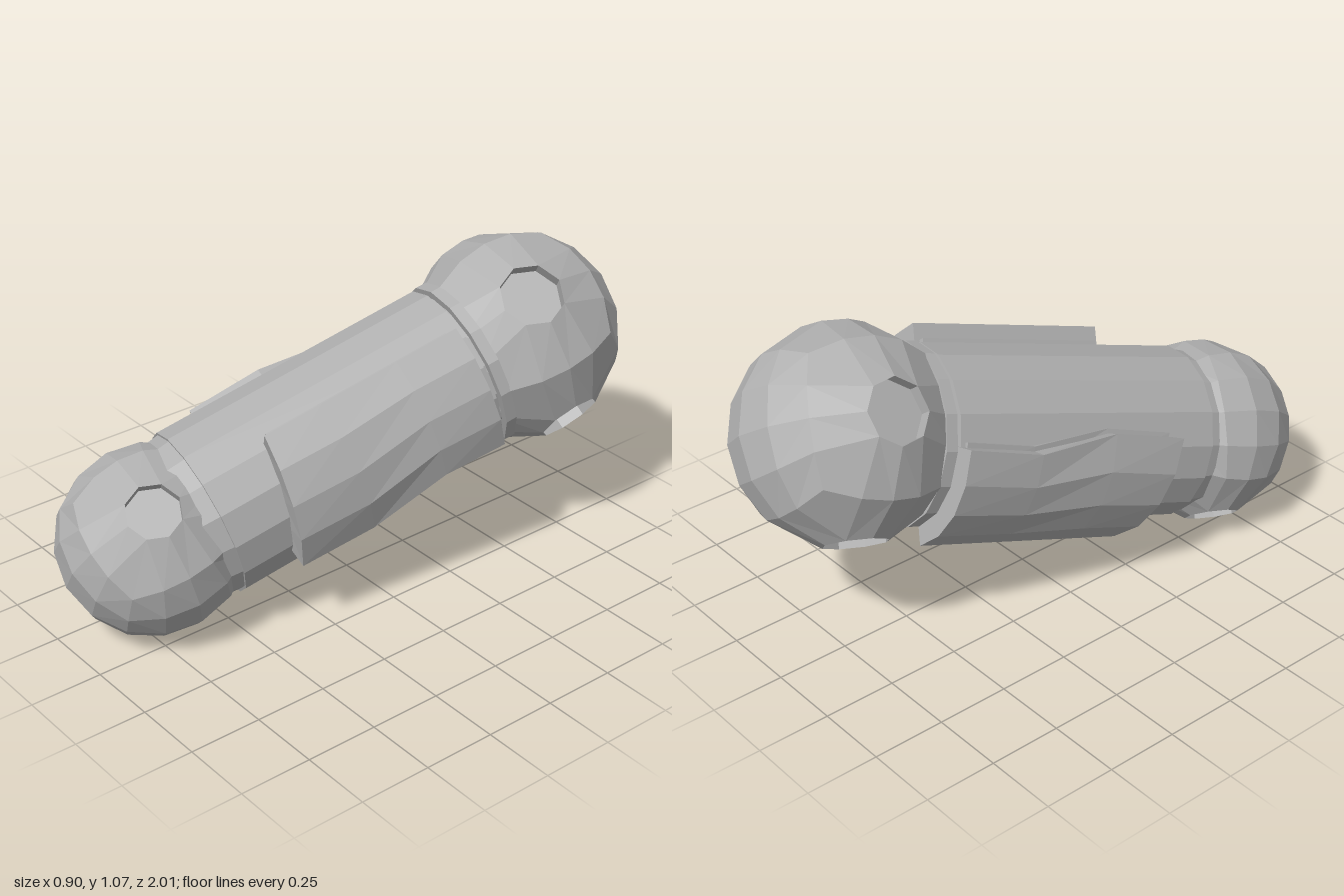
import * as THREE from 'three';

const grey = new THREE.MeshStandardMaterial({ color: 0xb0b0b0, flatShading: true });
grey.name = 'plain grey';

// Collects quads and triangles into one flat-shaded geometry
function surface(build) {
  const pos = [];
  const tri = (a, b, c) => pos.push(...a, ...b, ...c);
  const quad = (a, b, c, d) => { tri(a, b, c); tri(a, c, d); };
  build(tri, quad);
  const g = new THREE.BufferGeometry();
  g.setAttribute('position', new THREE.Float32BufferAttribute(pos, 3));
  g.computeVertexNormals();
  return g;
}

// Ball made from a rounded cube grid, with octagonal sockets in chosen sides
function socketBall(R, holeR, depth, holed) {
  const sides = [[0, 1], [0, -1], [1, 1], [1, -1], [2, 1], [2, -1]];
  return surface((tri, quad) => {
    for (const [axis, sign] of sides) {
      const n = new THREE.Vector3().setComponent(axis, sign);
      const u = new THREE.Vector3().setComponent((axis + 1) % 3, 1);
      const v = n.clone().cross(u);
      const open = holed.includes(axis);
      const place = (a, b, c) => n.clone().multiplyScalar(a).addScaledVector(u, b).addScaledVector(v, c);
      const ringAt = (k, sink) => {
        const f = k * Math.PI / 4;
        return place(Math.sqrt(R * R - holeR * holeR) - sink, holeR * Math.cos(f), holeR * Math.sin(f)).toArray();
      };
      const point = (i, j) => {
        if (open && Math.max(Math.abs(i), Math.abs(j)) === 1) return ringAt(Math.atan2(j, i) / (Math.PI / 4), 0);
        return place(1, Math.tan(i * Math.PI / 8), Math.tan(j * Math.PI / 8)).normalize().multiplyScalar(R).toArray();
      };
      for (let i = -2; i < 2; i++) for (let j = -2; j < 2; j++) {
        if (open && i >= -1 && i < 1 && j >= -1 && j < 1) continue;
        quad(point(i, j), point(i + 1, j), point(i + 1, j + 1), point(i, j + 1));
      }
      if (!open) continue;
      // socket wall and floor
      const centre = place(Math.sqrt(R * R - holeR * holeR) - depth, 0, 0).toArray();
      for (let k = 0; k < 8; k++) {
        quad(ringAt(k, 0), ringAt(k + 1, 0), ringAt(k + 1, depth), ringAt(k, depth));
        tri(centre, ringAt(k, depth), ringAt(k + 1, depth));
      }
    }
  });
}

// Curved armour plate; each row is [distance along limb, low angle, high angle, slant]
function curvedPlate(rows, inner, outer, steps = 4) {
  const at = ([t, lo, hi, slant], i, r) => {
    const a = THREE.MathUtils.degToRad(lo + (hi - lo) * i / steps);
    return [r * Math.cos(a), r * Math.sin(a), -(t + slant * i / steps)];
  };
  return surface((tri, quad) => {
    for (let k = 0; k < rows.length - 1; k++) {
      const p = rows[k], q = rows[k + 1];
      for (let i = 0; i < steps; i++) {
        quad(at(p, i, outer), at(q, i, outer), at(q, i + 1, outer), at(p, i + 1, outer));
        quad(at(p, i + 1, inner), at(q, i + 1, inner), at(q, i, inner), at(p, i, inner));
      }
      quad(at(p, 0, inner), at(q, 0, inner), at(q, 0, outer), at(p, 0, outer));
      quad(at(p, steps, outer), at(q, steps, outer), at(q, steps, inner), at(p, steps, inner));
    }
    const f = rows[0], b = rows[rows.length - 1];
    for (let i = 0; i < steps; i++) {
      quad(at(f, i, outer), at(f, i + 1, outer), at(f, i + 1, inner), at(f, i, inner));
      quad(at(b, i, inner), at(b, i + 1, inner), at(b, i + 1, outer), at(b, i, outer));
    }
  });
}

export function createModel() {
  const model = new THREE.Group();
  model.name = 'limbSegment';

  // Tilted limb frame: origin in the small ball, local -z runs to the large ball
  const small = new THREE.Vector3(-0.14, 0.315, 0.69);
  const large = new THREE.Vector3(0.097, 0.717, -0.645);
  const length = small.distanceTo(large);
  const z = small.clone().sub(large).normalize();
  const x = new THREE.Vector3(0.79, -0.61, 0).addScaledVector(z, -0.042).normalize();
  const y = z.clone().cross(x).normalize();
  x.crossVectors(y, z);
  const limb = new THREE.Group();
  limb.name = 'limb';
  limb.quaternion.setFromRotationMatrix(new THREE.Matrix4().makeBasis(x, y, z));
  limb.position.copy(small);
  model.add(limb);

  const add = (name, geometry, t = 0) => {
    const mesh = new THREE.Mesh(geometry, grey);
    mesh.name = name;
    mesh.position.z = -t;
    limb.add(mesh);
    return mesh;
  };
  const tube = (name, r0, r1, t0, t1) =>
    add(name, new THREE.CylinderGeometry(r0, r1, t1 - t0, 16).rotateX(Math.PI / 2), (t0 + t1) / 2);

  // Joint balls
  add('smallBall', socketBall(0.314, 0.092, 0.04, [1]));
  add('largeBall', socketBall(0.36, 0.108, 0.045, [0, 1]), length);

  // Shaft with its neck and collar
  tube('neck', 0.275, 0.285, 0.1, 0.18);
  tube('shaft', 0.293, 0.293, 0.175, 1.165);
  tube('collar', 0.27, 0.27, 1.16, 1.18);
  tube('collarRing', 0.298, 0.298, 1.18, 1.22);

  // Paired side plates, each on a slightly wider backing lip
  for (const [side, turn, end] of [['left', 0, 1.13], ['right', Math.PI, 1.17]]) {
    const rows = [[0.35, 16, 94, 0.06], [0.62, 13, 94, 0], [0.9, 23, 94, 0], [end, 20, 94, 0]];
    add(side + 'Plate', curvedPlate(rows, 0.27, 0.357)).rotation.z = turn;
    const lip = rows.map(([t, lo, hi, s], i) => [t + [0.02, 0, 0, -0.02][i], lo - 3, hi + 4, s]);
    add(side + 'PlateLip', curvedPlate(lip, 0.27, 0.305)).rotation.z = turn;
  }
  return model;
}
